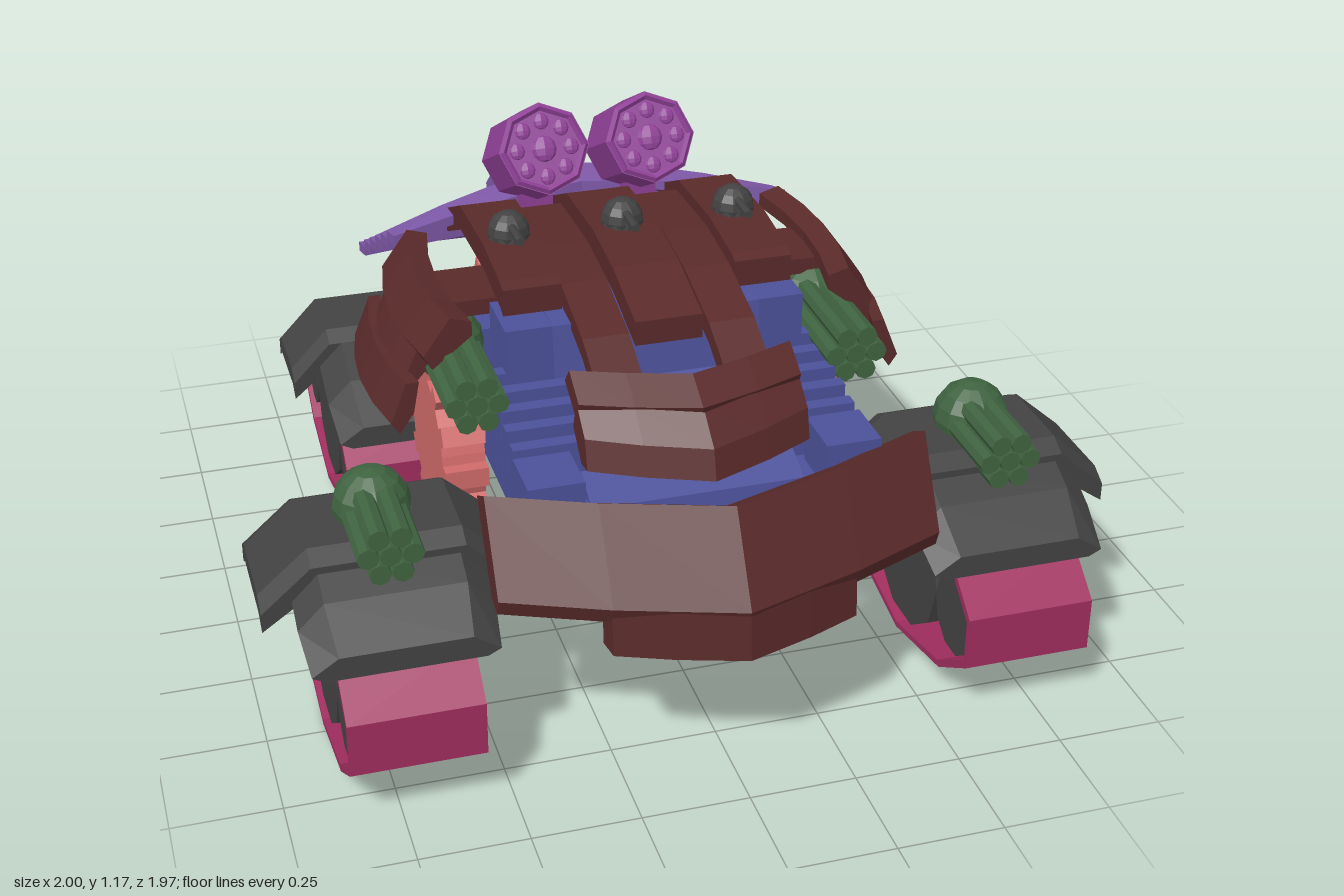
import * as THREE from 'three';

const mat = (color) => new THREE.MeshStandardMaterial({ color, flatShading: true, side: THREE.DoubleSide });
const V = (x, y, z) => new THREE.Vector3(x, y, z);

// Closed solid through cross-section loops of equal length
function loft(sections) {
  const pos = [], n = sections[0].length;
  const tri = (a, b, c) => pos.push(...a.toArray(), ...b.toArray(), ...c.toArray());
  for (let i = 0; i < sections.length - 1; i++) {
    for (let j = 0; j < n; j++) {
      const k = (j + 1) % n, a = sections[i], b = sections[i + 1];
      tri(a[j], a[k], b[k]);
      tri(a[j], b[k], b[j]);
    }
  }
  const s = sections[0], e = sections[sections.length - 1];
  for (let j = 1; j < n - 1; j++) {
    tri(s[0], s[j + 1], s[j]);
    tri(e[0], e[j], e[j + 1]);
  }
  // Turn the faces outwards if the loops ran the other way
  let vol = 0;
  for (let i = 0; i < pos.length; i += 9) {
    vol += V(...pos.slice(i, i + 3)).dot(V(...pos.slice(i + 3, i + 6)).cross(V(...pos.slice(i + 6, i + 9))));
  }
  if (vol < 0) {
    for (let i = 0; i < pos.length; i += 9) {
      for (let k = 3; k < 6; k++) [pos[i + k], pos[i + k + 3]] = [pos[i + k + 3], pos[i + k]];
    }
  }
  const g = new THREE.BufferGeometry();
  g.setAttribute('position', new THREE.Float32BufferAttribute(pos, 3));
  g.computeVertexNormals();
  return g;
}

// Side profile given as [z, y], extruded from x0 to x1
function profile(pts, x0, x1, hole) {
  const shape = new THREE.Shape(pts.map((p) => new THREE.Vector2(...p)));
  if (hole) shape.holes.push(new THREE.Path(hole.map((p) => new THREE.Vector2(...p))));
  return new THREE.ExtrudeGeometry(shape, { depth: x1 - x0, bevelEnabled: false })
    .rotateY(-Math.PI / 2).translate(x1, 0, 0);
}
const plank = (top, x0, x1, t) => profile([...top, ...top.map(([z, y]) => [z, y - t]).reverse()], x0, x1);
const box = (x0, x1, y0, y1, z0, z1) => new THREE.BoxGeometry(x1 - x0, y1 - y0, z1 - z0)
  .translate((x0 + x1) / 2, (y0 + y1) / 2, (z0 + z1) / 2);
const wheel = (r, x0, x1, y, z, sides) => new THREE.CylinderGeometry(r, r, x1 - x0, sides)
  .rotateZ(Math.PI / 2).translate((x0 + x1) / 2, y, z);

export function createModel() {
  const root = new THREE.Group();
  const brown = mat(0x5a2a2a), dark = mat(0x424242), magenta = mat(0xa02d5e), green = mat(0x3f6340);
  const blue = mat(0x4c5199), salmon = mat(0xd06a6a), violet = mat(0x805aaa), plum = mat(0x8f4096);
  const add = (name, geo, m, parent = root) => {
    const mesh = new THREE.Mesh(geo, m);
    mesh.name = name;
    parent.add(mesh);
  };
  const group = (name, parent = root) => {
    const g = new THREE.Group();
    g.name = name;
    parent.add(g);
    return g;
  };

  // Track pod: belt, three wheels, arched fender with a saddle plate
  function trackPod(name, o) {
    const g = group(name);
    const ring = (k) => [[1, .285], [1, .15], [.64, .055], [0, 0], [-.64, .055], [-1, .15], [-1, .285],
      [-.7, .38], [-.36, .43], [.36, .43], [.7, .38]]
      .map(([u, y]) => [o.z + u * (o.half - k), y < .2 ? y + o.lift + k : y - o.drop - k]);
    add('trackBelt', profile(ring(0), o.x - .152, o.x + .152, ring(.014)), magenta, g);
    const w0 = o.x - .14, w1 = o.x + .14;
    add('mainWheel', wheel(o.big, w0, w1, .225 + o.lift * .3, o.z, 10), dark, g);
    for (const s of [1, -1]) add('smallWheel', wheel(o.small, w0, w1, .225, o.z + s * (o.half - o.small - .015), 10), dark, g);
    // Fender stations: [along, top, bottom]
    const arch = [[-1, .365, .305], [-.68, .475, .395], [-.36, .53, .415], [.36, .53, .415], [.68, .48, .395], [1, .405, .35]];
    add('fender', loft(arch.map(([u, t, b]) => {
      const w = o.w * (Math.abs(u) === 1 ? .95 : 1), edge = Math.max(b + .015, t - .06);
      return [[-w + .03, b], [-w, edge], [-w + .06, t], [w - .06, t], [w, edge], [w - .03, b]]
        .map(([x, y]) => V(o.x + x, y - o.drop, o.z + u * o.arch));
    })), dark, g);
    // Flat crown and slanted side flaps
    const saddle = [[-1, .41], [-1, .455], [-.6, .555], [.6, .555], [1, .455], [1, .41], [.6, .49], [-.6, .49]];
    for (const loop of [[2, 3, 6, 7], [1, 2, 7, 0], [3, 4, 5, 6]]) {
      add('saddlePlate', loft([-1, -.7, .7, 1].map((u) => loop.map((i) => V(o.x + saddle[i][0] * o.saddleW,
        saddle[i][1] - o.drop - (Math.abs(u) === 1 ? .025 : 0), o.z + u * o.saddleZ)))), dark, g);
    }
  }

  // Ball turret with a bundle of barrels
  function ballTurret(name, x, y, z, length) {
    const g = group(name);
    g.position.set(x, y, z);
    add('ball', new THREE.SphereGeometry(.09, 12, 8), green, g);
    for (let i = 0; i < 7; i++) {
      const a = i * Math.PI / 3, r = i < 6 ? .05 : 0;
      add('barrel', new THREE.CylinderGeometry(.025, .025, length, 8).rotateX(Math.PI / 2)
        .translate(Math.cos(a) * r, Math.sin(a) * r, length / 2), green, g);
    }
  }

  // Toothed wheel
  function gear(name, x0, x1, y, z, r, teeth) {
    const pts = [];
    for (let i = 0; i < teeth; i++) {
      for (const [u, k] of [[-.5, r], [-.25, r], [-.22, r + .035], [.22, r + .035], [.25, r]]) {
        const a = (i + u) / teeth * Math.PI * 2;
        pts.push([z + Math.cos(a) * k, y + Math.sin(a) * k]);
      }
    }
    add(name, profile(pts, x0, x1), salmon);
  }

  for (const s of [1, -1]) {
    trackPod('frontTrackPod', { x: s * .713, z: .47, lift: .005, half: .402, big: .19, small: .1, arch: .32, w: .218, saddleW: .287, saddleZ: .15, drop: 0 });
    trackPod('rearTrackPod', { x: s * .522, z: -.575, lift: .035, half: .357, big: .17, small: .085, arch: .365, w: .172, saddleW: .24, saddleZ: .13, drop: .022 });
    ballTurret('fenderTurret', s * .72, .575, .46, .23);
    ballTurret('sideTurret', s * .455, .735, .05, .33);
    const [g0, g1] = s > 0 ? [.395, .5] : [-.5, -.395];
    gear('frontGear', g0, g1, .44, -.01, .178, 12);
  }
  gear('rearGear', -.25, .25, .54, -.39, .165, 12);

  // Hull
  const hull = group('hull');
  add('hullCore', profile([[-.22, .5], [-.22, .78], [-.1, .87], [.26, .85], [.28, .7], [.6, .56], [.62, .44], [.4, .39], [.25, .42], [.12, .5]], -.25, .25), blue, hull);
  add('axleBeam', box(-.45, .45, .66, .76, -.08, .06), blue, hull);
  add('gearAxle', wheel(.05, -.42, .42, .44, -.01, 8), blue, hull);
  for (const s of [1, -1]) {
    const side = (name, x0, x1, ...r) => add(name, s > 0 ? box(x0, x1, ...r) : box(-x1, -x0, ...r), blue, hull);
    side('sideSill', .25, .38, .44, .56, -.22, .6);
    side('shoulder', .2, .36, .62, .85, .1, .26);
    side('rearPost', .25, .36, .42, .78, -.21, -.1);
    side('frontBlock', .28, .41, .53, .67, .52, .66);
    for (let i = 0; i < 5; i++) side('coolingRib', .2, .405, .52, .74 - i * .015, .22 + i * .062, .255 + i * .062);
  }

  // Roof planks following one arched line
  const roof = group('roofArmour');
  const line = [[-.42, .865], [-.25, .945], [0, .955], [.17, .935], [.36, .885], [.53, .8]];
  const lower = line.map(([z, y]) => [z, y - .025]);
  add('centrePlank', plank(line.slice(0, 5), -.08, .08, .06), brown, roof);
  // Side plate cross-sections [x, y] with half length
  const plates = [
    [[[.45, .875], [.5, .89], [.565, .8], [.545, .765], [.45, .84]], .25],
    [[[.51, .82], [.55, .82], [.6, .71], [.58, .69], [.52, .76]], .18],
    [[[.575, .73], [.605, .73], [.645, .63], [.625, .6], [.59, .65]], .235],
  ];
  for (const s of [1, -1]) {
    const span = (a, b) => (s > 0 ? [a, b] : [-b, -a]);
    add('outerPlank', plank([...line.slice(0, 4), [.2, .925]], ...span(.21, .35), .065), brown, roof);
    add('innerPlank', plank(lower, ...span(.095, .205), .05), brown, roof);
    for (const [section, h] of plates) {
      add('sidePlate', loft([-1, -.5, 0, .5, 1].map((u) =>
        section.map(([x, y]) => V(s * (x + .012 - .03 * u * u), y, u * h - .015)))), brown, roof);
    }
    add('plateStrut', box(...span(.33, .47), .81, .85, -.1, .08), brown, roof);
  }
  for (const x of [-.28, 0, .28]) {
    const t = group('domeGun', roof);
    t.position.set(x, .965, -.03);
    add('dome', new THREE.SphereGeometry(.052, 10, 8), dark, t);
    add('domeBase', new THREE.CylinderGeometry(.05, .055, .04, 10).translate(0, -.02, 0), dark, t);
    add('domeBarrel', new THREE.CylinderGeometry(.011, .011, .12, 6).rotateX(Math.PI / 2).translate(0, .025, .06), dark, t);
  }

  // Chevron plates at the nose: profile [z, y] swept back towards the sides
  const chevron = (name, pts, half, sweep) => add(name, loft([-1, -.55, 0, .55, 1].map((u) =>
    pts.map(([z, y]) => V(u * half, y, z - sweep * (Math.abs(u) ** 1.2))))), brown);
  chevron('noseCrest', [[.5, .79], [.54, .835], [.62, .79], [.6, .74]], .26, .09);
  chevron('noseGuard', [[.6, .71], [.63, .785], [.7, .73], [.72, .66], [.67, .65]], .26, .12);
  chevron('bumper', [[.79, .64], [.86, .68], [.975, .48], [.96, .44], [.91, .45]], .51, .19);
  chevron('bumperLip', [[.89, .46], [.97, .48], [.98, .36], [.9, .34]], .28, .1);

  // Rear shield of overlapping chevron slats
  const shield = group('rearShield');
  const ridge = (t, x) => {
    const k = Math.min(1, Math.abs(x) / .51) ** 1.4;
    const z = THREE.MathUtils.lerp(-.4 - t * .585, -.29 - t * .56, k);
    const yc = t < .27 ? .91 - t * .08 : .888 - (t - .27) * .508;
    return V(x, THREE.MathUtils.lerp(yc, .87 - t * .29, k), z);
  };
  const rows = 6, stations = [-.51, -.34, -.17, 0, .17, .34, .51];
  for (let i = 0; i < rows; i++) {
    add('shieldSlat', loft(stations.map((x) => {
      const a = ridge(i / rows, x), b = ridge((i + 1.15) / (rows + .15), x);
      const up = (p, d) => V(p.x, p.y + d, p.z);
      return [up(a, -.03), up(a, -.005), up(b, .018), up(b, -.008)];
    })), violet, shield);
  }
  for (const x of [-.135, .135]) {
    const rail = (name, t0, t1, w, h) => add(name, loft([0, .25, .5, .75, 1].map((u) => {
      const p = ridge(t0 + (t1 - t0) * u, x);
      return [[-w, -.02], [w, -.02], [w, h], [-w, h]].map(([dx, dy]) => V(x + dx, p.y + dy, p.z));
    })), violet, shield);
    rail('shieldRail', .1, .98, .033, .035);
    rail('railFoot', .1, .42, .065, .028);

    // Launcher drum with a ring of tubes on its face
    const drum = group('launcherDrum');
    drum.position.set(x, 1.02, -.348);
    drum.rotation.x = -.47;
    add('drumBody', new THREE.CylinderGeometry(.114, .114, .22, 8).rotateX(Math.PI / 2), plum, drum);
    add('drumRim', new THREE.TorusGeometry(.103, .011, 4, 8).translate(0, 0, .108), plum, drum);
    for (let i = 0; i < 9; i++) {
      const a = i * Math.PI / 4, r = i < 8 ? .068 : 0;
      add('launchTube', new THREE.SphereGeometry(i < 8 ? .021 : .033, 8, 6).scale(1, 1, .4)
        .translate(Math.cos(a) * r, Math.sin(a) * r, .109), plum, drum);
    }
    add('drumMount', box(x - .04, x + .04, .84, .98, -.44, -.33), plum);
  }
  return root;
}
